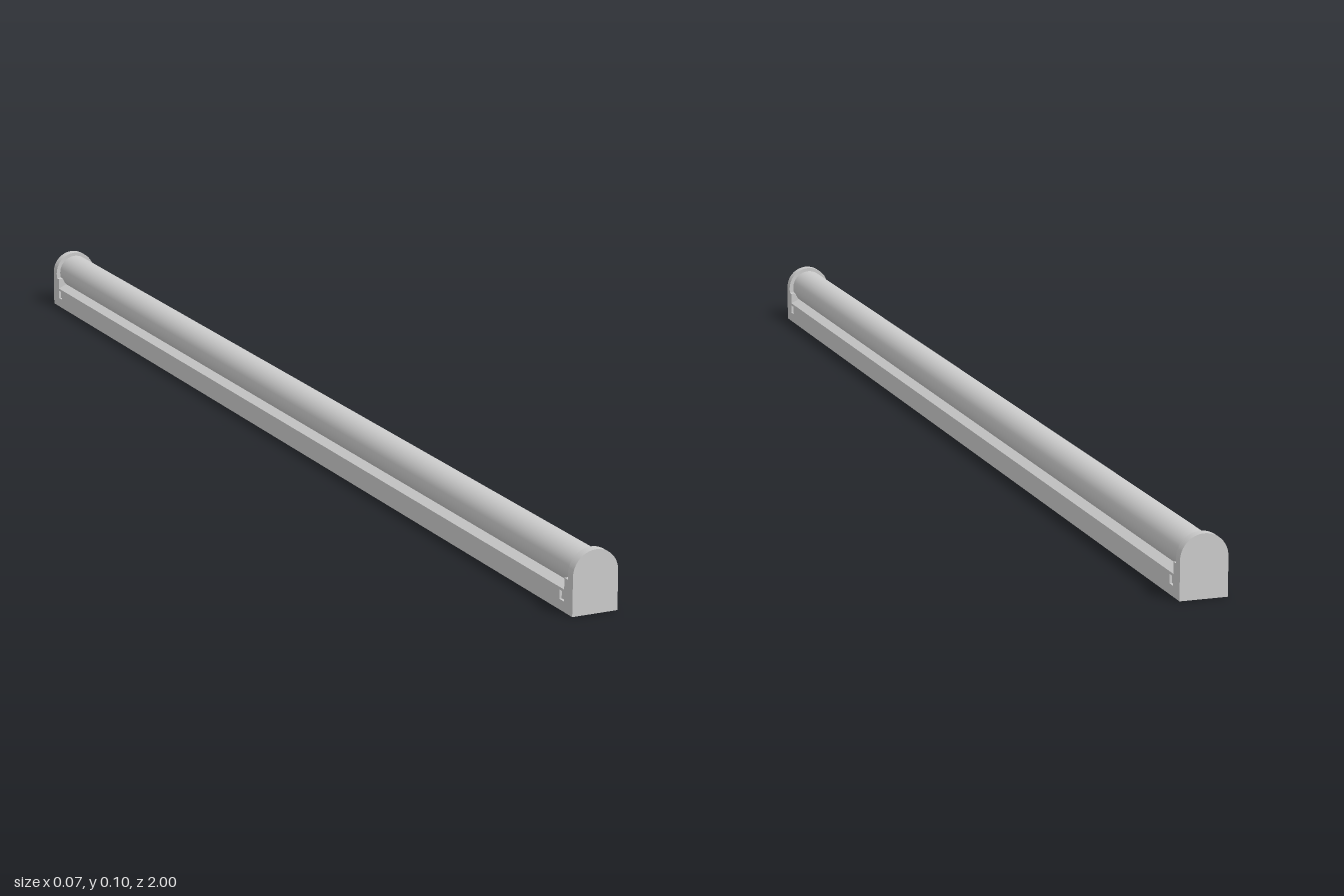
import * as THREE from 'three';

const HALF_W = 0.037;   // half width of the fitting
const CAP = 0.015;      // end cap thickness
const INNER = 1 - CAP;  // z where the caps begin
const SKIN = 0.004;     // side panel thickness

const grey = new THREE.MeshStandardMaterial({ color: 0xcccccc });

function add(parent, name, geometry) {
  const mesh = new THREE.Mesh(geometry, grey);
  mesh.name = name;
  parent.add(mesh);
  return mesh;
}

function extrude(shape, depth) {
  return new THREE.ExtrudeGeometry(shape, { depth, bevelEnabled: false, curveSegments: 32 });
}

function polygon(points) {
  return new THREE.Shape(points.map(([x, y]) => new THREE.Vector2(x, y)));
}

// Flat-bottomed arch of the end caps
function archShape() {
  const s = new THREE.Shape();
  s.moveTo(-HALF_W, 0);
  s.lineTo(HALF_W, 0);
  s.lineTo(HALF_W, 0.06);
  s.absarc(0, 0.06, HALF_W, 0, Math.PI, false);
  s.closePath();
  return s;
}

// Long side panel with a small square opening near each end
function sidePanelShape() {
  const s = polygon([[-INNER, 0], [INNER, 0], [INNER, 0.034], [-INNER, 0.034]]);
  for (const z of [-0.968, 0.968]) {
    const h = 0.007;
    s.holes.push(new THREE.Path([
      new THREE.Vector2(z - h, 0.023 - h), new THREE.Vector2(z - h, 0.023 + h),
      new THREE.Vector2(z + h, 0.023 + h), new THREE.Vector2(z + h, 0.023 - h),
    ]));
  }
  return s;
}

export function createModel() {
  const model = new THREE.Group();
  model.name = 'tubeLight';

  // Base channel with sloping shoulders that meet the tube
  const w = HALF_W - SKIN;
  const core = polygon([
    [-w, 0], [w, 0], [w, 0.034], [HALF_W, 0.034], [0.022, 0.041],
    [-0.022, 0.041], [-HALF_W, 0.034], [-w, 0.034],
  ]);
  add(model, 'baseChannel', extrude(core, 2 * INNER)).position.z = -INNER;

  // Side panels
  for (const side of [-1, 1]) {
    const panel = add(model, side > 0 ? 'leftSidePanel' : 'rightSidePanel',
      extrude(sidePanelShape(), SKIN));
    panel.rotation.y = side * Math.PI / 2;
    panel.position.x = side * w;
  }

  // Round light tube
  const tube = add(model, 'lightTube', new THREE.CylinderGeometry(0.03, 0.03, 2 * INNER, 48));
  tube.rotation.x = Math.PI / 2;
  tube.position.y = 0.061;

  // End caps, each with a short socket shoulder closing the groove
  for (const end of [-1, 1]) {
    const cap = new THREE.Group();
    cap.name = end > 0 ? 'frontEndCap' : 'backEndCap';
    add(cap, 'capPlate', extrude(archShape(), CAP)).position.z = INNER;
    add(cap, 'socketShoulder', new THREE.BoxGeometry(2 * HALF_W, 0.018, 0.01))
      .position.set(0, 0.043, INNER - 0.005);
    if (end < 0) cap.rotation.y = Math.PI;
    model.add(cap);
  }

  return model;
}
